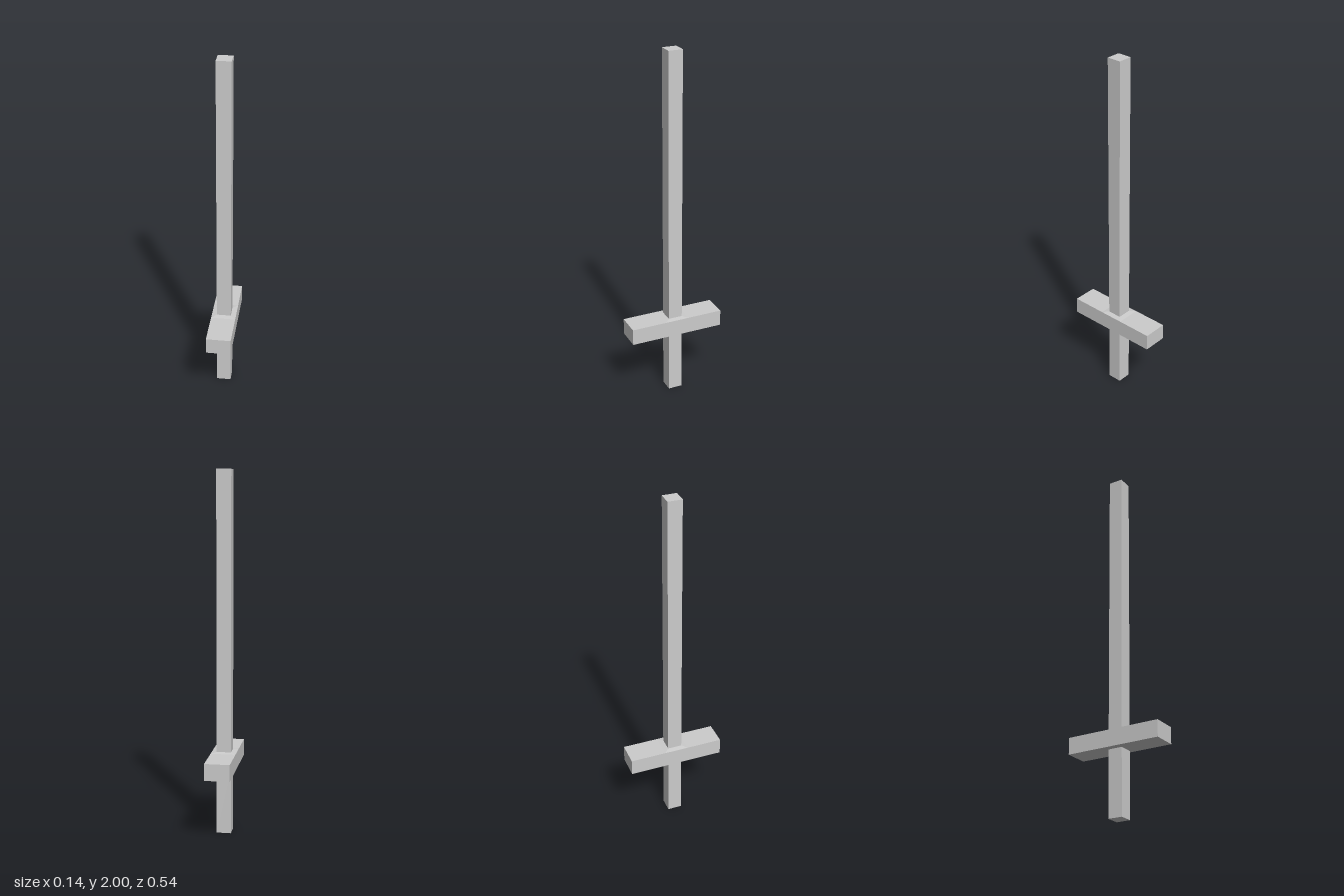
import * as THREE from 'three';

const material = new THREE.MeshStandardMaterial({ color: 0xcccccc, flatShading: true });

const HALF = 0.04;                       // half width of blade and grip
const GUARD = { x: 0.069, z: 0.27, bottom: 0.369, top: 0.462 };
const RISE = 0.004;                      // slight swell of the guard around the blade

function add(group, name, geometry, y) {
  const mesh = new THREE.Mesh(geometry, material);
  mesh.name = name;
  mesh.position.y = y;
  group.add(mesh);
  return mesh;
}

// Square column between two heights
function column(group, name, y0, y1) {
  return add(group, name, new THREE.BoxGeometry(HALF * 2, y1 - y0, HALF * 2), (y0 + y1) / 2);
}

// Very shallow square frustum
function shoulder(bottomHalf, topHalf) {
  return new THREE.CylinderGeometry(topHalf * Math.SQRT2, bottomHalf * Math.SQRT2, RISE, 4, 1, true)
    .rotateY(Math.PI / 4);
}

export function createModel() {
  const group = new THREE.Group();
  group.name = 'sword';

  // Grip below the guard, blade above it
  column(group, 'grip', 0, GUARD.bottom);
  column(group, 'blade', GUARD.top, 2);

  // Crossguard running front to back
  const { x, z, bottom, top } = GUARD;
  add(group, 'guard', new THREE.BoxGeometry(x * 2, top - bottom, z * 2), (top + bottom) / 2);

  // Shallow slopes where blade and grip meet the guard
  add(group, 'upperShoulder', shoulder(x, HALF), top + RISE / 2);
  add(group, 'lowerShoulder', shoulder(HALF, x), bottom - RISE / 2);

  return group;
}
